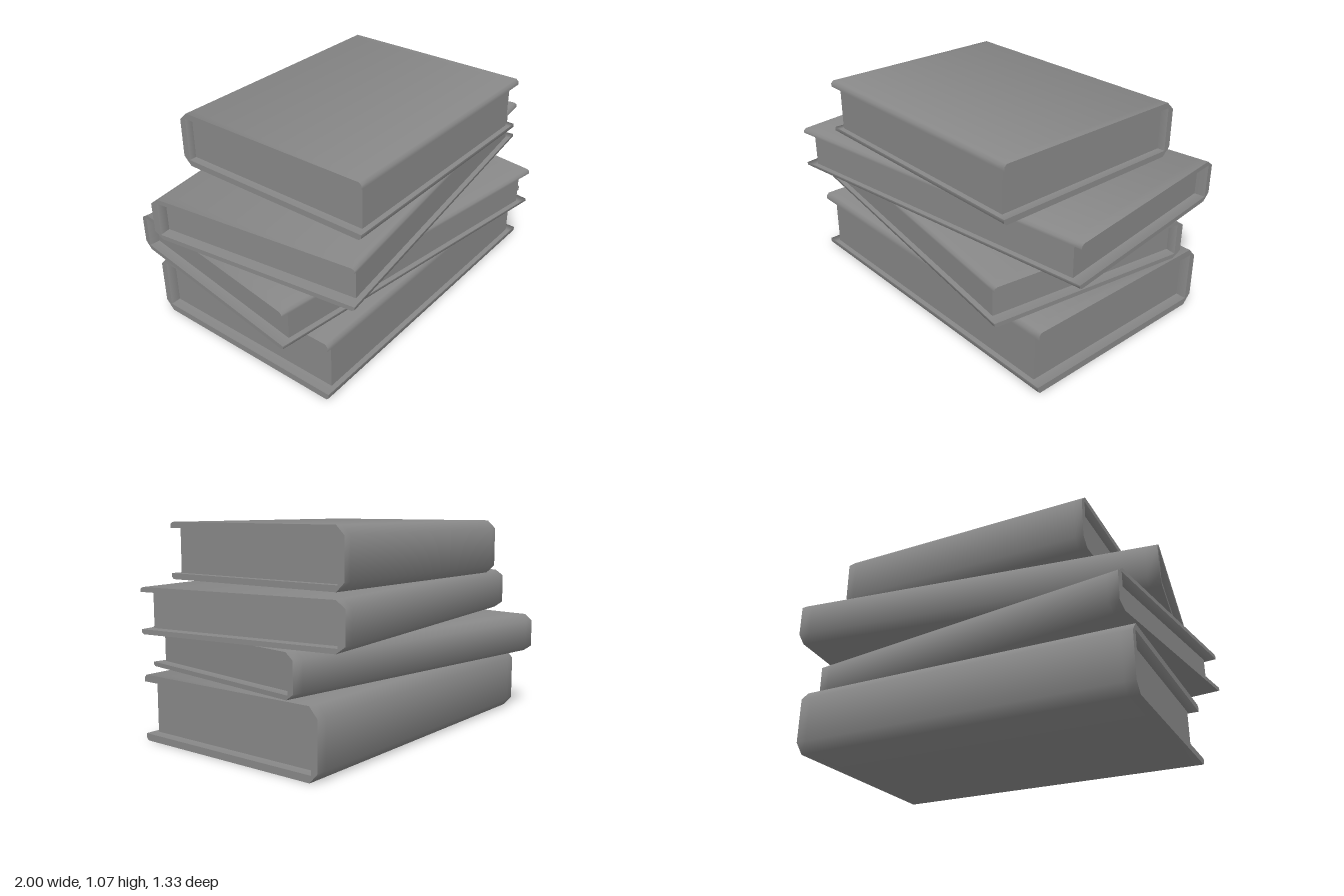
import * as THREE from 'three';
import { toCreasedNormals } from 'three/addons/utils/BufferGeometryUtils.js';

const material = new THREE.MeshStandardMaterial({ color: 0x888888 });
const DEPTH = 1.095; // fore edge to spine
const SPINE = 0.036; // spine thickness
const STEPS = 32;    // slices along a cover; the outermost ones overhang the pages

// Softly roll the shading of the cover's inside faces into its end rims.
function softenInside(geometry, width, height, board) {
  const { position, normal } = geometry.attributes;
  const n = new THREE.Vector3();
  for (let i = 0; i < position.count; i++) {
    const x = position.getX(i), y = position.getY(i), z = position.getZ(i);
    n.fromBufferAttribute(normal, i);
    const atEnd = Math.abs(x) > width / 2 - 0.001 && Math.abs(n.x) < 0.1;
    const betweenBoards = y > board - 0.001 && y < height - board + 0.001;
    const onBoard = Math.abs(n.y) > 0.9;
    const onSpine = z < 0 && n.z > 0.9;
    if (!atEnd || !betweenBoards || !(onBoard || onSpine)) continue;
    n.multiplyScalar(0.5).setX(Math.sign(x)).normalize();
    normal.setXYZ(i, n.x, n.y, n.z);
  }
}

// Wrap-around cover: a C-shaped profile with a bevelled spine, extruded along x.
function createCover(width, height) {
  const d = DEPTH / 2;
  const t = height * 0.105;      // board thickness
  const bevelY = height * 0.15;  // spine bevel
  const lip = height * 0.04;     // small bevel on the fore edges
  const inner = d - SPINE;       // inside face of the spine
  const profile = [
    [-d + 0.014, 0], [d - 0.045, 0], [d, bevelY],
    [d, height - bevelY], [d - 0.045, height], [-d + 0.014, height],
    [-d, height - lip], [-d, height - t], [inner, height - t],
    [inner, t], [-d, t], [-d, lip],
  ].map(([u, v]) => new THREE.Vector2(u, v));
  const extrusion = new THREE.ExtrudeGeometry(new THREE.Shape(profile), {
    depth: width, steps: STEPS, bevelEnabled: false,
  });
  extrusion.translate(0, 0, -width / 2);
  extrusion.rotateY(Math.PI / 2); // spine now faces -z
  const geometry = toCreasedNormals(extrusion, 1.2);
  softenInside(geometry, width, height, t);
  const cover = new THREE.Mesh(geometry, material);
  cover.name = 'cover';
  return cover;
}

// Page block, set in from the cover at the fore edge and both ends.
function createPages(width, height) {
  const back = -DEPTH / 2 + SPINE;
  const front = DEPTH / 2 - 0.026;
  const pages = new THREE.Mesh(
    new THREE.BoxGeometry(width * (1 - 2 / STEPS), height * 0.79, front - back), material);
  pages.position.set(0, height / 2, (front + back) / 2);
  pages.name = 'pages';
  return pages;
}

// Stack from bottom to top.
const books = [
  { name: 'bottomBook', width: 1.75, height: 0.33, position: [0.019, 0, -0.001], turn: 0 },
  { name: 'lowerMiddleBook', width: 1.757, height: 0.206, position: [-0.053, 0.334, 0], turn: -0.143 },
  { name: 'upperMiddleBook', width: 1.832, height: 0.22, position: [0.02, 0.554, 0], turn: 0.132 },
  { name: 'topBook', width: 1.335, height: 0.285, position: [0.02, 0.781, 0.02], turn: 0 },
];

export function createModel() {
  const stack = new THREE.Group();
  stack.name = 'bookStack';
  for (const { name, width, height, position, turn } of books) {
    const book = new THREE.Group();
    book.name = name;
    book.add(createCover(width, height), createPages(width, height));
    book.position.set(...position);
    book.rotation.y = turn;
    stack.add(book);
  }
  return stack;
}
